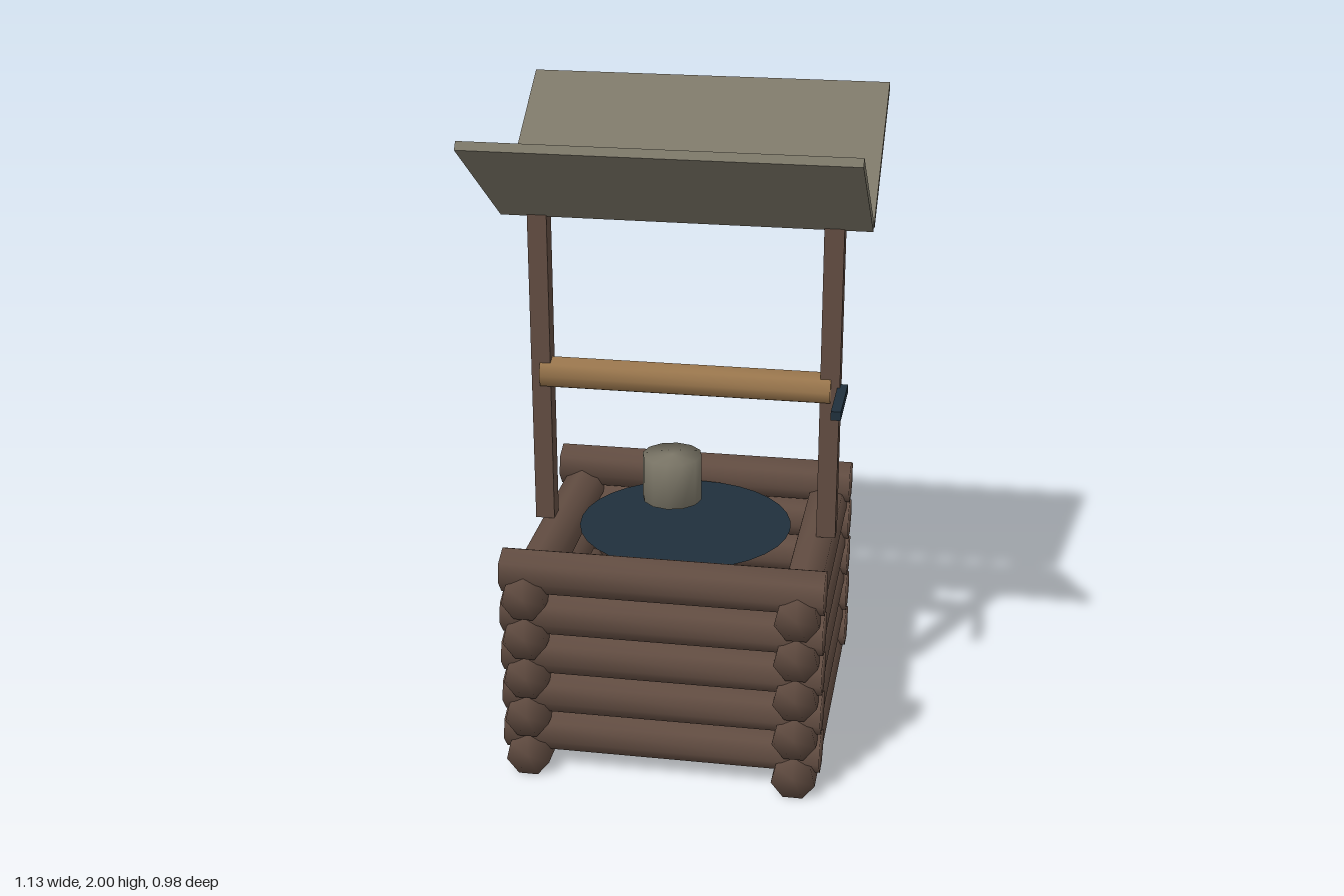
import * as THREE from 'three';
import { mergeVertices } from 'three/addons/utils/BufferGeometryUtils.js';

const material = (name, color) => {
  const m = new THREE.MeshStandardMaterial({ color });
  m.name = name;
  return m;
};

// Low-sided cylinder with softly shaded rims
function softCylinder(radius, length, sides) {
  const g = new THREE.CylinderGeometry(radius, radius, length, sides);
  g.deleteAttribute('uv');
  g.deleteAttribute('normal');
  const merged = mergeVertices(g);
  merged.computeVertexNormals();
  return merged;
}

export function createModel() {
  const wood = material('dark wood', 0x614c41);
  const paleWood = material('pale wood', 0x98754c);
  const grey = material('weathered grey', 0x7c7768);
  const navy = material('dark blue', 0x20303c);

  const model = new THREE.Group();
  model.name = 'well';
  const add = (parent, name, geometry, mat, x, y, z) => {
    const mesh = new THREE.Mesh(geometry, mat);
    mesh.name = name;
    mesh.position.set(x, y, z);
    parent.add(mesh);
    return mesh;
  };

  // Stacked log walls, the two directions offset by half a log
  const walls = new THREE.Group();
  walls.name = 'logWalls';
  model.add(walls);
  const sideLog = softCylinder(0.069, 0.98, 7).rotateX(-Math.PI / 2);
  const frontLog = sideLog.clone().rotateY(Math.PI / 2);
  for (let row = 0; row < 5; row++) {
    const y = 0.063 + row * 0.1345;
    for (const s of [-1, 1]) {
      add(walls, 'sideLog', sideLog, wood, s * 0.413, y, 0);
      add(walls, 'frontLog', frontLog, wood, 0, y + 0.067, s * 0.413);
    }
  }

  // Water surface
  const waterMat = navy;
  waterMat.side = THREE.DoubleSide;
  add(model, 'water', new THREE.CircleGeometry(0.335, 32).rotateX(-Math.PI / 2), waterMat, 0, 0.668, 0);

  // Posts standing on the side walls
  for (const s of [-1, 1]) {
    add(model, 'post', new THREE.BoxGeometry(0.06, 1.05, 0.06), wood, s * 0.45, 1.19, 0);
  }

  // Winding beam and crank
  add(model, 'windingBeam', softCylinder(0.051, 0.905, 8).rotateZ(Math.PI / 2), paleWood, 0, 1.155, 0);
  add(model, 'crank', new THREE.BoxGeometry(0.03, 0.028, 0.23), navy, 0.487, 1.155, 0.112);

  // Bucket
  add(model, 'bucket', softCylinder(0.09, 0.143, 12), grey, -0.002, 0.929, 0.228);

  // Two roof panels sloping up and outward from the ridge beam
  for (const s of [-1, 1]) {
    const panel = add(model, 'roofPanel', new THREE.BoxGeometry(1.127, 0.027, 0.564), grey,
      0, 1.83, s > 0 ? 0.246 : -0.25);
    panel.rotation.x = -s * 0.593;
  }

  return model;
}
